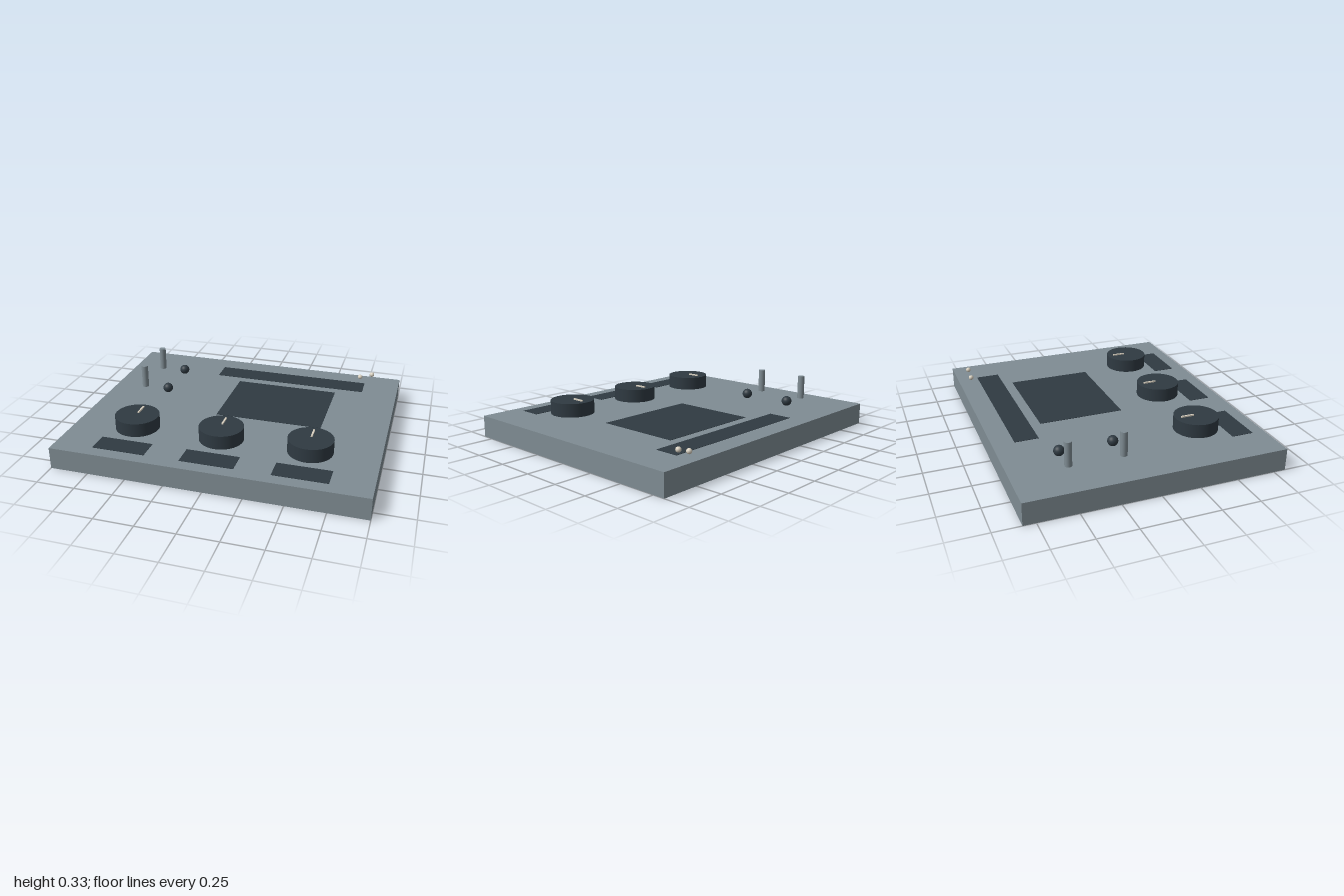
import * as THREE from 'three';

export function createModel() {
  const group = new THREE.Group();
  const mat = (color, opts = {}) => new THREE.MeshStandardMaterial({ color, ...opts });
  const slate = mat(0x7f8c93);
  const dark = mat(0x2f3a42);
  const cream = mat(0xd8d0c0);

  const add = (name, geometry, material, x, y, z) => {
    const mesh = new THREE.Mesh(geometry, material);
    mesh.name = name;
    mesh.position.set(x, y, z);
    group.add(mesh);
    return mesh;
  };

  // Control panel slab
  const top = 0.143;
  add('panelBody', new THREE.BoxGeometry(2, top, 1.657), slate, 0, top / 2, 0);

  // Thin inlays lying on the panel
  const inlay = (name, x, z, w, d) =>
    add(name, new THREE.BoxGeometry(w, 0.004, d), dark, x, top, z);
  inlay('screen', 0.215, -0.185, 0.714, 0.565);
  inlay('displayStrip', 0.214, -0.611, 1.086, 0.155);

  // Three knobs, each with a pointer and a label plate
  for (const x of [-0.571, 0, 0.571]) {
    add('knob', new THREE.CylinderGeometry(0.143, 0.143, 0.09, 48), dark, x, 0.201, 0.43);
    add('knobPointer', new THREE.BoxGeometry(0.011, 0.01, 0.086), cream, x, 0.25, 0.37);
    inlay('labelPlate', x, 0.674, 0.343, 0.143);
  }

  // Two switch levers with round buttons beside them
  for (const z of [-0.485, -0.142]) {
    add('lever', new THREE.CylinderGeometry(0.023, 0.023, 0.158, 24), slate, -0.76, 0.251, z);
    add('roundButton', new THREE.SphereGeometry(0.034, 24, 16), dark, -0.586, 0.18, z);
  }

  // Indicator lamps
  for (const [x, y] of [[0.714, 0.17], [0.8, 0.199]]) {
    add('indicatorLamp', new THREE.SphereGeometry(0.017, 20, 14), cream, x, y, -0.742);
  }

  return group;
}
